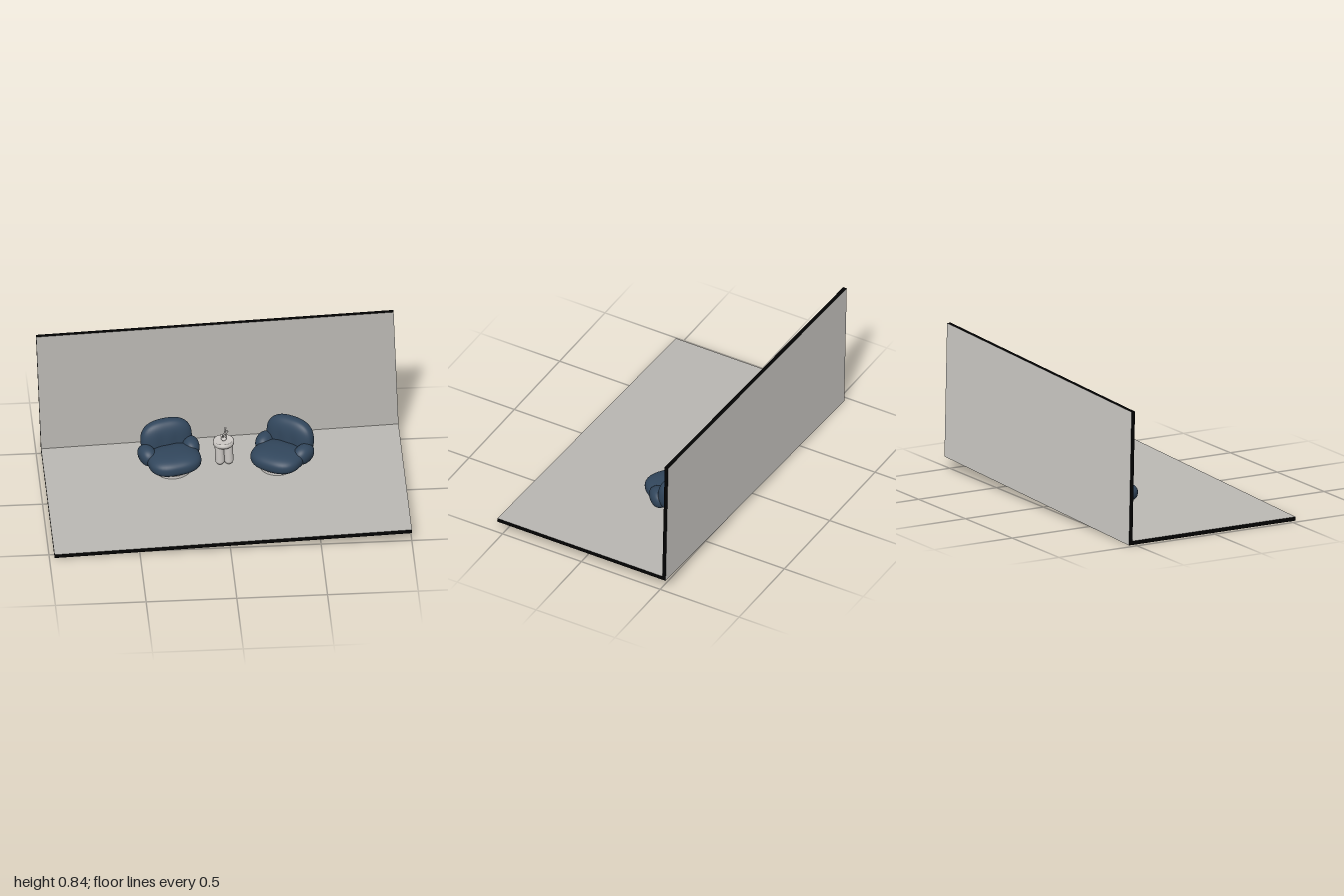
import * as THREE from 'three';
import { mergeVertices } from 'three/addons/utils/BufferGeometryUtils.js';

const mat = (name, color) => {
  const m = new THREE.MeshStandardMaterial({ color });
  m.name = name;
  return m;
};

// Soft cushion: a sphere squared off by a p-norm, then scaled and shaped by a rule
function cushion([rx, ry, rz], p, shape) {
  const g = new THREE.SphereGeometry(1, 48, 32);
  g.deleteAttribute('uv');
  g.deleteAttribute('normal');
  const pos = g.attributes.position;
  const v = new THREE.Vector3();
  for (let i = 0; i < pos.count; i++) {
    v.fromBufferAttribute(pos, i);
    const n = Math.abs(v.x) ** p + Math.abs(v.y) ** p + Math.abs(v.z) ** p;
    v.multiplyScalar(n ** (-1 / p));
    v.set(v.x * rx, v.y * ry, v.z * rz);
    if (shape) shape(v);
    pos.setXYZ(i, v.x, v.y, v.z);
  }
  const merged = mergeVertices(g, 1e-5);
  merged.computeVertexNormals();
  return merged;
}

export function createModel() {
  const inner = mat('warm grey', 0xbcbab5);
  const outer = mat('light grey', 0xdcdad5);
  const edge = mat('black edge', 0x020202);
  const fabric = mat('blue fabric', 0x32475d);
  const pale = mat('pale grey', 0xcfcbc7);

  const add = (parent, name, geo, material, x = 0, y = 0, z = 0) => {
    const m = new THREE.Mesh(geo, material);
    m.name = name;
    m.position.set(x, y, z);
    parent.add(m);
    return m;
  };

  // The whole room leans slightly about z
  const model = new THREE.Group();
  model.name = 'loungeCorner';
  const room = new THREE.Group();
  room.name = 'room';
  room.position.set(0.014, 0.036, 0);
  room.rotation.z = 0.0364;
  model.add(room);

  // Floor and back wall, with dark edges and lighter outer faces
  const W = 1.972, T = 0.022, H = 0.764, D = 1.068;
  add(room, 'floor', new THREE.BoxGeometry(W, T, D),
    [edge, edge, inner, outer, edge, outer], 0, T / 2, 0);
  add(room, 'backWall', new THREE.BoxGeometry(W, H - T, T),
    [edge, edge, edge, edge, inner, outer], 0, (H + T) / 2, -D / 2 + T / 2);

  // Cushion shapes shared by both armchairs
  const seatGeo = cushion([0.148, 0.056, 0.122], 2.6);
  const armGeo = cushion([0.048, 0.056, 0.07], 2.2);
  const backGeo = cushion([0.145, 0.113, 0.054], 2.6, v => {
    // shallow pleats on the front, ends wrapping slightly forward
    if (v.z > 0) {
      const low = THREE.MathUtils.smoothstep(-v.y, -0.07, 0.03);
      for (const x of [-0.045, 0.045]) v.z -= 0.007 * low * Math.exp(-(((v.x - x) / 0.012) ** 2));
    }
    v.z += 0.3 * v.x * v.x;
  });
  const baseGeo = new THREE.CylinderGeometry(0.1, 0.1, 0.016, 40);

  function armchair(name, x, z, turn) {
    const chair = new THREE.Group();
    chair.name = name;
    chair.position.set(x, T, z);
    chair.rotation.y = turn;
    add(chair, 'base', baseGeo, pale, 0, 0.008, 0.035);
    add(chair, 'seat', seatGeo, fabric, 0.006, 0.064, 0.043);
    add(chair, 'backrest', backGeo, fabric, 0.004, 0.124, -0.1).rotation.x = -0.1;
    for (const s of [-1, 1]) {
      const arm = add(chair, s < 0 ? 'rightArm' : 'leftArm', armGeo, fabric, s * 0.124, 0.075, -0.035);
      arm.rotation.set(0, s * -0.12, s * -0.2);
    }
    room.add(chair);
  }
  armchair('rightArmchair', -0.286, -0.26, 0.22);
  armchair('leftArmchair', 0.319, -0.217, -0.63);

  // Side table on three rounded legs
  const table = new THREE.Group();
  table.name = 'sideTable';
  table.position.set(0.007, T, -0.255);
  room.add(table);
  const top = [[0, 0.12], [0.05, 0.12], [0.057, 0.126], [0.059, 0.136], [0.057, 0.147],
    [0.052, 0.151], [0.048, 0.147], [0, 0.147]].map(([r, y]) => new THREE.Vector2(r, y));
  add(table, 'tableTop', new THREE.LatheGeometry(top, 48), pale);
  const legGeo = new THREE.CapsuleGeometry(0.026, 0.088, 8, 20);
  for (let i = 0; i < 3; i++) {
    const a = Math.PI / 6 + i * Math.PI * 2 / 3;
    add(table, 'tableLeg', legGeo, pale, Math.cos(a) * 0.028, 0.072, Math.sin(a) * 0.028);
  }

  // Small branching ornament
  const ornament = new THREE.Group();
  ornament.name = 'ornament';
  ornament.position.set(0.002, 0.147, 0);
  table.add(ornament);
  add(ornament, 'ornamentBody', cushion([0.015, 0.011, 0.015], 2), pale, 0, 0.01, 0);
  const branches = [
    [[0, 0.01, 0], [-0.004, 0.03, 0.003], [0.008, 0.05, 0], [0.012, 0.074, -0.008]],
    [[0, 0.03, 0], [-0.009, 0.038, 0.012], [-0.012, 0.045, 0.02]],
    [[0.006, 0.045, 0], [0.014, 0.052, 0.025], [0.01, 0.06, 0.056]],
    [[0.006, 0.045, 0], [0.016, 0.04, -0.01], [0.022, 0.044, -0.02]],
  ];
  for (const pts of branches) {
    const path = new THREE.CatmullRomCurve3(pts.map(p => new THREE.Vector3(...p)));
    add(ornament, 'branch', new THREE.TubeGeometry(path, 16, 0.005, 10), pale);
    add(ornament, 'branchTip', new THREE.SphereGeometry(0.006, 12, 8), pale, ...pts[pts.length - 1]);
  }
  return model;
}
